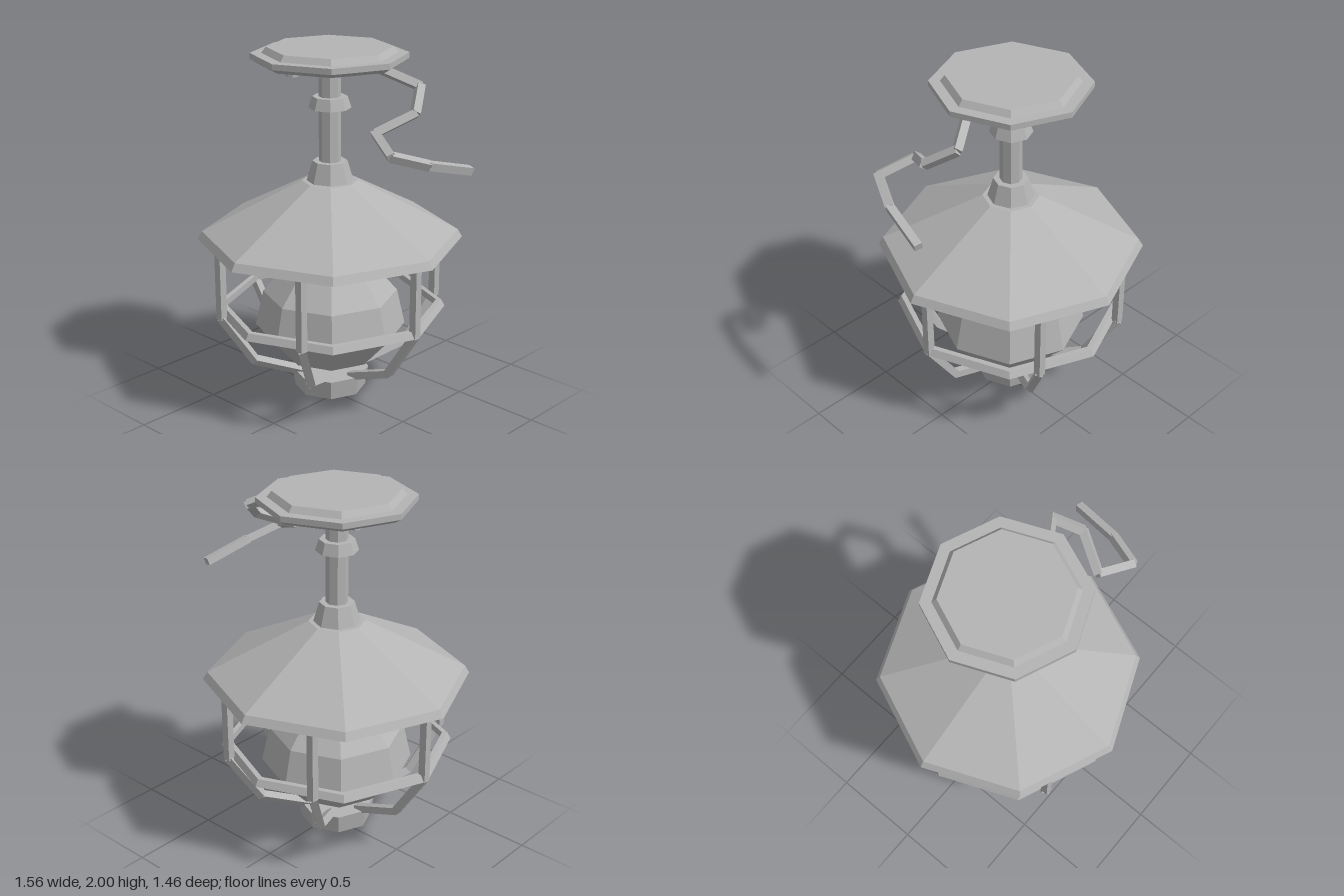
import * as THREE from 'three';

const SIDES = 8;
const CX = -0.05; // lamp axis
const BAR = 0.042;

export function createModel() {
  const model = new THREE.Group();
  model.name = 'hangingLantern';
  const grey = new THREE.MeshStandardMaterial({ color: 0xb4b4b4, flatShading: true });
  grey.name = 'plain grey';

  const lamp = new THREE.Group();
  lamp.name = 'lamp';
  lamp.position.x = CX;
  model.add(lamp);

  const add = (parent, name, geometry) => {
    const mesh = new THREE.Mesh(geometry, grey);
    mesh.name = name;
    parent.add(mesh);
    return mesh;
  };

  // Eight-sided solid from [radius, y] points listed bottom to top
  const turned = (name, points) =>
    add(lamp, name, new THREE.LatheGeometry(points.map(([r, y]) => new THREE.Vector2(r, y)), SIDES));

  // Square bars joining consecutive points
  const up = new THREE.Vector3(0, 1, 0);
  const bars = (parent, name, points) => {
    const group = new THREE.Group();
    group.name = name;
    for (let i = 0; i < points.length - 1; i++) {
      const a = new THREE.Vector3(...points[i]);
      const b = new THREE.Vector3(...points[i + 1]);
      const dir = b.clone().sub(a);
      const bar = add(group, name + 'Segment', new THREE.BoxGeometry(BAR, dir.length() + 0.01, BAR));
      bar.position.copy(a).add(b).multiplyScalar(0.5);
      bar.quaternion.setFromUnitVectors(up, dir.normalize());
    }
    parent.add(group);
  };

  // Ceiling plate with stepped, bevelled rim
  turned('ceilingPlate', [[0, 1.915], [0.385, 1.915], [0.42, 1.937], [0.42, 1.968],
    [0.36, 1.968], [0.335, 2], [0, 2]]);
  for (let i = 0; i < 3; i++) {
    const a = i * Math.PI * 2 / 3;
    add(lamp, 'plateBolt', new THREE.CylinderGeometry(0.035, 0.035, 0.04, SIDES))
      .position.set(Math.sin(a) * 0.275, 1.905, Math.cos(a) * 0.275);
  }

  // Stem, collar and shade cap
  turned('stem', [[0.06, 1.3], [0.06, 1.92]]);
  turned('stemCollar', [[0, 1.672], [0.115, 1.672], [0.095, 1.735], [0, 1.735]]);
  turned('shadeCap', [[0.127, 1.27], [0.095, 1.38], [0, 1.38]]);

  // Shade with a narrow rim and closed underside
  turned('shade', [[0, 0.937], [0.73, 0.937], [0.705, 0.98], [0.153, 1.27], [0, 1.27]]);

  // Bulb and socket
  turned('socket', [[0, 0.868], [0.137, 0.868], [0.137, 0.94]]);
  turned('bulb', [[0, 0.25], [0.26, 0.25], [0.42, 0.424], [0.375, 0.625], [0.156, 0.868], [0, 0.868]]);

  // Cage rings
  turned('upperCageRing', [[0.6, 0.94], [0.6, 0.902], [0.628, 0.902], [0.648, 0.94]]);
  turned('middleCageRing', [[0.595, 0.524], [0.645, 0.524], [0.625, 0.562], [0.595, 0.562], [0.595, 0.524]]);

  // Six bent cage bars
  for (let i = 0; i < 6; i++) {
    const a = i * Math.PI / 3;
    const path = [[0.62, 0.935], [0.62, 0.53], [0.44, 0.255], [0.16, 0.152]];
    bars(lamp, 'cageBar', path.map(([r, y]) => [Math.cos(a) * r, y, Math.sin(a) * r]));
  }

  // Bottom hub and finial
  turned('bottomHub', [[0, 0.045], [0.2, 0.045], [0.217, 0.155], [0, 0.155]]);
  turned('finial', [[0, 0], [0.087, 0], [0.087, 0.05]]);

  // Loose cable dangling from the ceiling plate
  bars(model, 'looseCable', [[0.27, 1.93, -0.02], [0.453, 1.843, -0.14], [0.542, 1.74, 0],
    [0.44, 1.655, 0.185], [0.62, 1.585, 0.27], [0.705, 1.52, 0.085], [0.757, 1.45, -0.18]]);

  return model;
}
